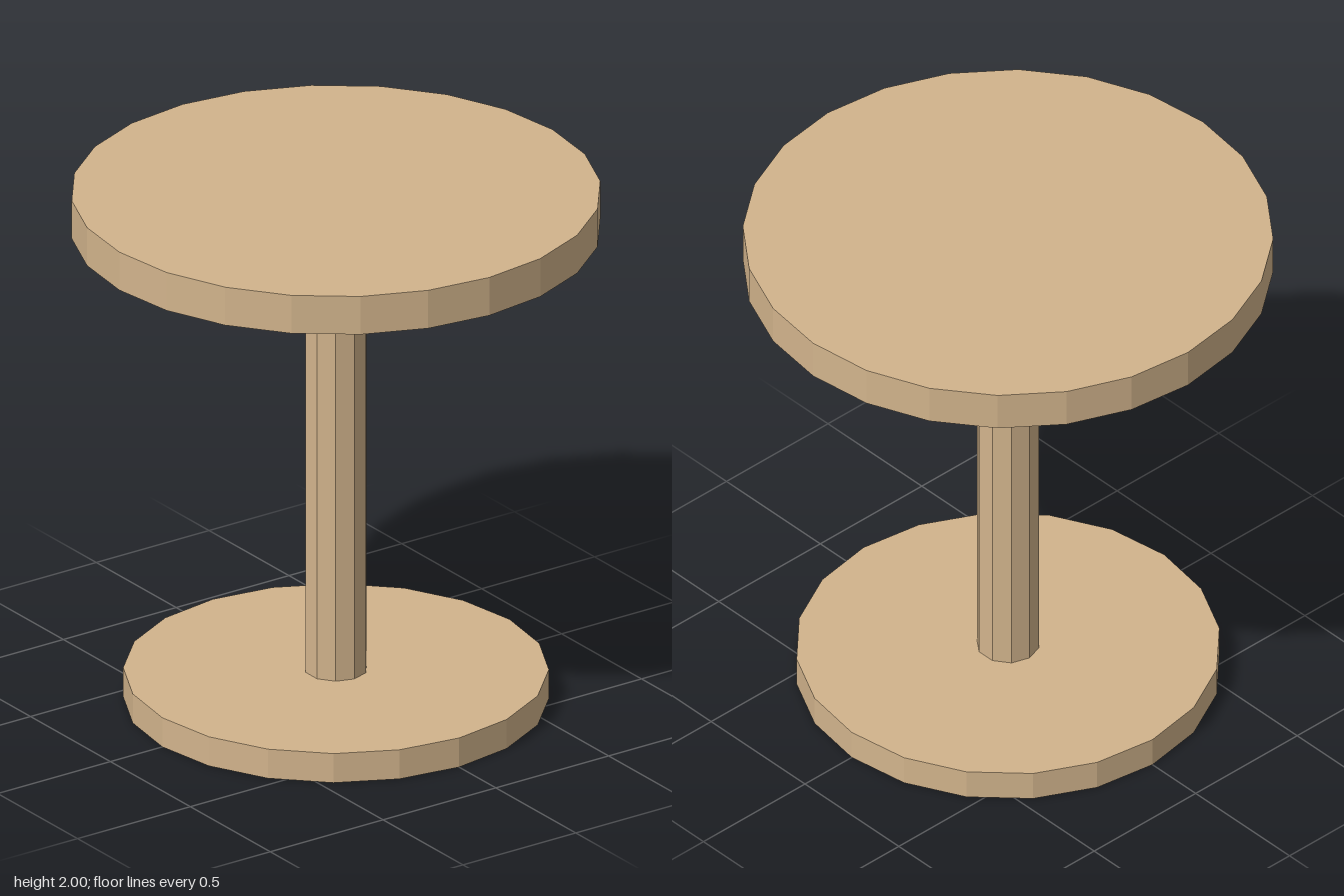
import * as THREE from 'three';

export function createModel() {
  const group = new THREE.Group();
  const wood = new THREE.MeshStandardMaterial({ color: 0xd2b48c, flatShading: true });

  // Upright faceted cylinder spanning bottom..top
  function disc(name, radius, bottom, top, sides) {
    const mesh = new THREE.Mesh(new THREE.CylinderGeometry(radius, radius, top - bottom, sides), wood);
    mesh.name = name;
    mesh.position.y = (bottom + top) / 2;
    group.add(mesh);
  }

  disc('base', 0.77, 0, 0.115, 20);
  disc('column', 0.115, 0.115, 1.85, 10);
  disc('tableTop', 0.96, 1.85, 2, 24);

  return group;
}
